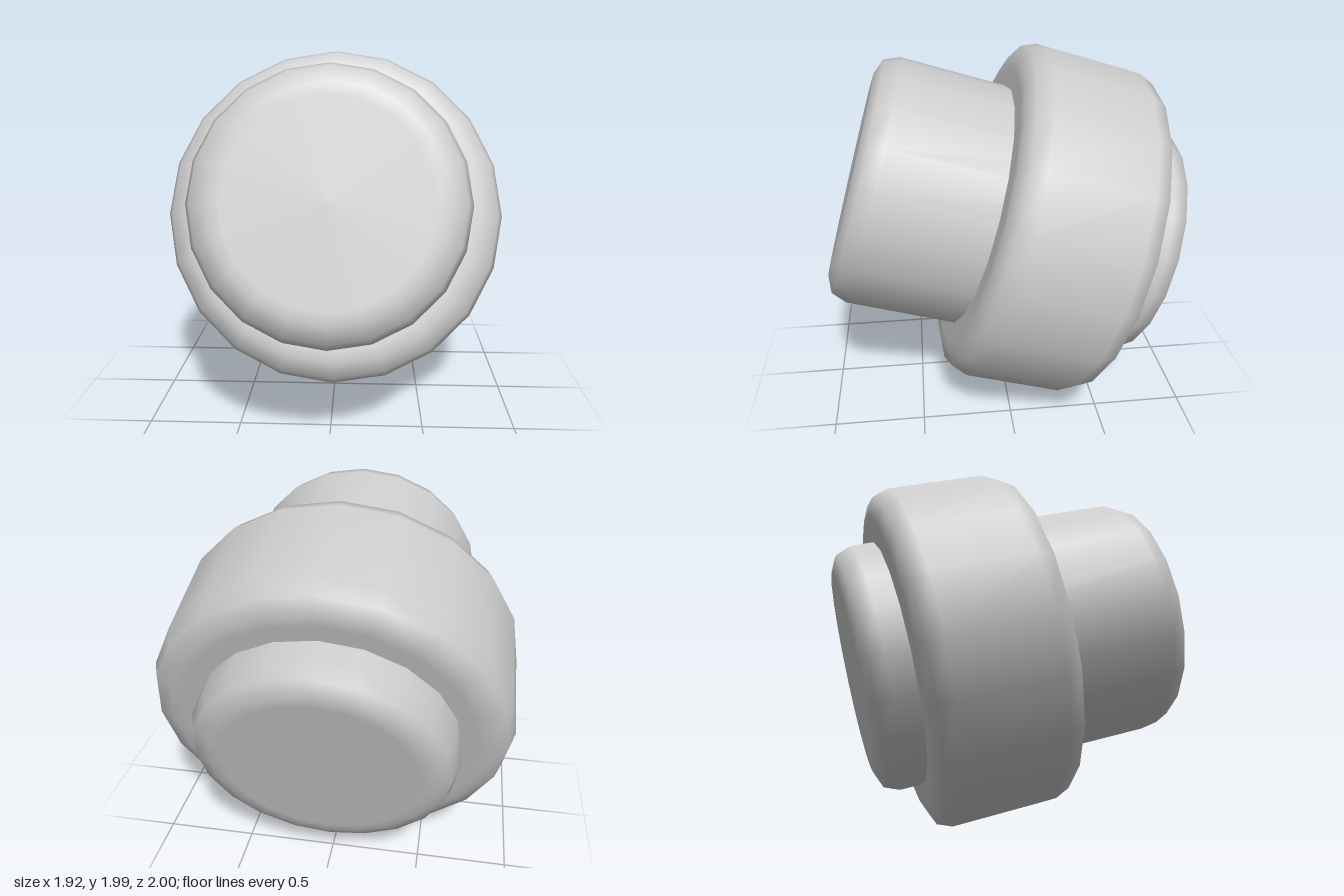
import * as THREE from 'three';

const SIDES = 20;
const BEVEL = 0.12;

// Solid disc along local y with edges rounded in two steps
function roundedDrum(name, radius, bottom, top, material) {
  const points = [new THREE.Vector2(0, bottom), new THREE.Vector2(radius - BEVEL - 0.06, bottom)];
  for (const [end, start] of [[bottom + BEVEL, -90], [top - BEVEL, 0]]) {
    for (let i = 0; i <= 2; i++) {
      const a = THREE.MathUtils.degToRad(start + i * 45);
      points.push(new THREE.Vector2(radius - BEVEL + BEVEL * Math.cos(a), end + BEVEL * Math.sin(a)));
    }
  }
  points.push(new THREE.Vector2(radius - BEVEL - 0.06, top), new THREE.Vector2(0, top));
  const mesh = new THREE.Mesh(new THREE.LatheGeometry(points, SIDES), material);
  mesh.name = name;
  return mesh;
}

export function createModel() {
  const model = new THREE.Group();
  model.name = 'steppedDrum';
  const grey = new THREE.MeshStandardMaterial({ color: 0xcccccc });

  // Both parts share one axis, pointing forward and tilted 17 degrees up
  const body = new THREE.Group();
  body.name = 'tiltedBody';
  body.add(roundedDrum('core', 0.69, -0.555, 1.185, grey));
  body.add(roundedDrum('collar', 0.96, -0.313, 0.464, grey));
  body.rotation.x = THREE.MathUtils.degToRad(73);
  body.position.set(0, 0.982, -0.301);
  model.add(body);
  return model;
}
